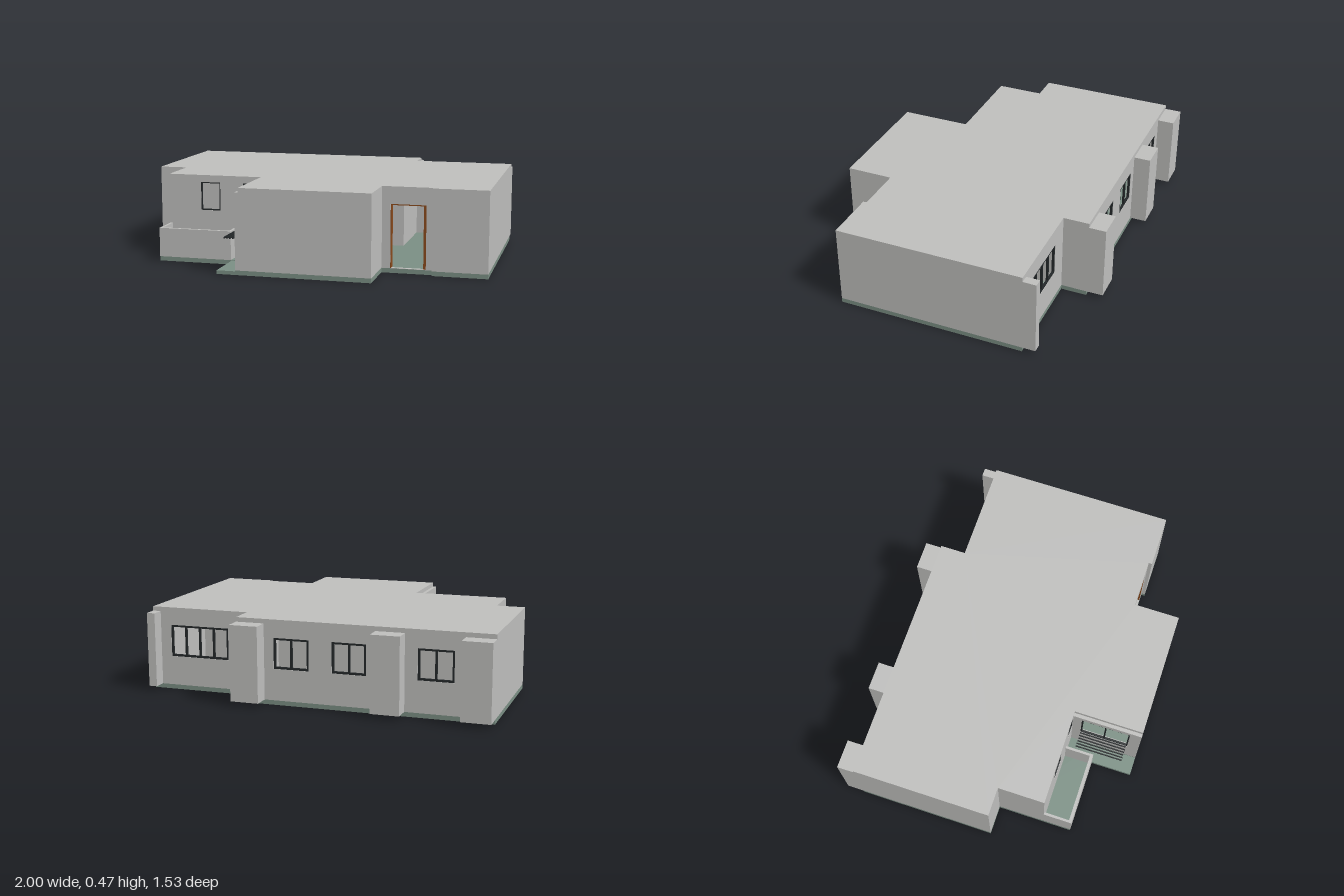
import * as THREE from 'three';

const material = (name, color) => {
  const m = new THREE.MeshStandardMaterial({ color });
  m.name = name;
  return m;
};

const FLOOR = 0.025, CEILING = 0.445, TOP = 0.47, T = 0.02;

export function createModel() {
  const model = new THREE.Group();
  model.name = 'house';
  const grey = material('plaster grey', 0xbfbfbd);
  const green = material('floor green grey', 0x7b8f84);
  const dark = material('frame black', 0x24282a);
  const brown = material('door brown', 0x8a4a1c);

  // box given by its lower and upper corners
  const box = (name, mat, [x0, y0, z0], [x1, y1, z1], parent = model) => {
    const mesh = new THREE.Mesh(new THREE.BoxGeometry(x1 - x0, y1 - y0, z1 - z0), mat);
    mesh.position.set((x0 + x1) / 2, (y0 + y1) / 2, (z0 + z1) / 2);
    mesh.name = name;
    parent.add(mesh);
    return mesh;
  };

  // horizontal plate from a plan outline of [x, z] points
  const plate = (name, mat, plan, y0, y1) => {
    const shape = new THREE.Shape(plan.map(([x, z]) => new THREE.Vector2(x, -z)));
    const geo = new THREE.ExtrudeGeometry(shape, { depth: y1 - y0, bevelEnabled: false });
    geo.rotateX(-Math.PI / 2);
    const mesh = new THREE.Mesh(geo, mat);
    mesh.position.y = y0;
    mesh.name = name;
    model.add(mesh);
  };

  // rectangular frame with evenly spaced mullions, in wall coordinates
  const frame = (parent, { u0, u1, y0, y1, bar, panes }) => {
    const z0 = -0.014, z1 = -0.002;
    box('windowSill', dark, [u0, y0, z0], [u1, y0 + bar, z1], parent);
    box('windowHead', dark, [u0, y1 - bar, z0], [u1, y1, z1], parent);
    for (let i = 0; i <= panes; i++) {
      const u = u0 + (u1 - u0 - bar) * i / panes;
      box('windowMullion', dark, [u, y0, z0], [u + bar, y1, z1], parent);
    }
  };

  // wall from a to b, seen left to right from outside, with openings cut out
  const wall = (a, b, openings = []) => {
    const dx = b[0] - a[0], dz = b[1] - a[1], length = Math.hypot(dx, dz);
    const group = new THREE.Group();
    group.name = 'outerWall';
    group.position.set(a[0], 0, a[1]);
    group.rotation.y = Math.atan2(-dz, dx);
    const rect = (K, u0, y0, u1, y1) => {
      const s = new K();
      s.moveTo(u0, y0).lineTo(u1, y0).lineTo(u1, y1).lineTo(u0, y1).closePath();
      return s;
    };
    const shape = rect(THREE.Shape, 0, FLOOR, length, CEILING);
    for (const o of openings) {
      shape.holes.push(rect(THREE.Path, o.u0, o.y0, o.u1, o.y1));
      if (o.panes) frame(group, o);
    }
    const geo = new THREE.ExtrudeGeometry(shape, { depth: T, bevelEnabled: false });
    geo.translate(0, 0, -T);
    const mesh = new THREE.Mesh(geo, grey);
    mesh.name = 'wallPanel';
    group.add(mesh);
    model.add(group);
  };

  const outline = (entryX) => [
    [-1, 0.105], [-0.84, 0.105], [-0.84, 0.37], [entryX, 0.37], [entryX, 0.765],
    [0.425, 0.765], [0.425, 0.505], [0.70, 0.505], [0.70, 0.525], [1, 0.525],
    [1, -0.53], [0.425, -0.53], [0.425, -0.675], [-1, -0.675],
  ];

  // openings by wall number
  const back = (u0, u1, y0, panes) => ({ u0, u1, y0, y1: 0.37, bar: 0.011, panes });
  const openings = {
    2: [
      { u0: 0.19, u1: 0.305, y0: 0.27, y1: 0.43, bar: 0.006, panes: 1 },
      { u0: 0.44, u1: 0.519, y0: 0.27, y1: 0.43, bar: 0.006, panes: 1 },
    ],
    3: [{ u0: 0.05, u1: 0.33, y0: 0.19, y1: 0.41, bar: 0.008, panes: 2 }],
    6: [{ u0: 0.047, u1: 0.24, y0: 0.027, y1: 0.375 }],
    10: [back(0.11, 0.46, 0.19, 4)],
    12: [back(0.215, 0.415, 0.2, 2), back(0.545, 0.735, 0.2, 2), back(1.015, 1.21, 0.2, 2)],
  };
  const walls = outline(-0.315);
  walls.forEach((p, i) => wall(p, walls[(i + 1) % walls.length], openings[i]));

  // roof and floor slabs
  plate('roofSlab', grey, outline(-0.295), CEILING, TOP);
  const floorPlan = outline(-0.315);
  floorPlan.splice(3, 1);
  floorPlan.splice(2, 1, [-0.84, 0.53], [-0.42, 0.53], [-0.42, 0.52]);
  floorPlan.splice(5, 0, [-0.315, 0.52]);
  plate('floorSlab', green, floorPlan, 0, FLOOR);
  box('entryStep', green, [-0.42, 0, 0.52], [-0.315, 0.02, 0.765]);

  // piers along the back
  for (const [x0, x1, z0, z1] of [
    [-1, -0.84, -0.77, -0.675], [-0.52, -0.36, -0.77, -0.675],
    [0.265, 0.425, -0.77, -0.675], [0.953, 1, -0.605, -0.53],
  ]) box('backPier', grey, [x0, FLOOR, z0], [x1, CEILING, z1]);

  // terrace parapet
  box('parapetFront', grey, [-0.84, FLOOR, 0.515], [-0.42, 0.187, 0.532]);
  box('parapetSide', grey, [-0.84, FLOOR, 0.37], [-0.826, 0.187, 0.515]);
  box('parapetSide', grey, [-0.434, FLOOR, 0.37], [-0.42, 0.187, 0.515]);

  // slatted rack beside the entry
  for (let i = 0; i < 6; i++) {
    const x = -0.404 + i * 0.0165;
    box('rackBar', dark, [x, 0.18, 0.42], [x + 0.006, 0.188, 0.695]);
  }

  // front door frame and edge of the open door
  box('doorJamb', brown, [0.472, 0.027, 0.463], [0.476, 0.375, 0.503]);
  box('doorHead', brown, [0.472, 0.369, 0.463], [0.665, 0.375, 0.503]);
  box('openDoor', brown, [0.651, 0.027, 0.33], [0.665, 0.37, 0.503]);

  // inner partitions
  box('partition', grey, [-0.98, FLOOR, -0.11], [0.42, CEILING, -0.09]);
  box('partition', grey, [0.41, FLOOR, -0.51], [0.43, CEILING, -0.09]);
  box('partition', grey, [0.60, FLOOR, 0.09], [0.98, CEILING, 0.11]);

  return model;
}
